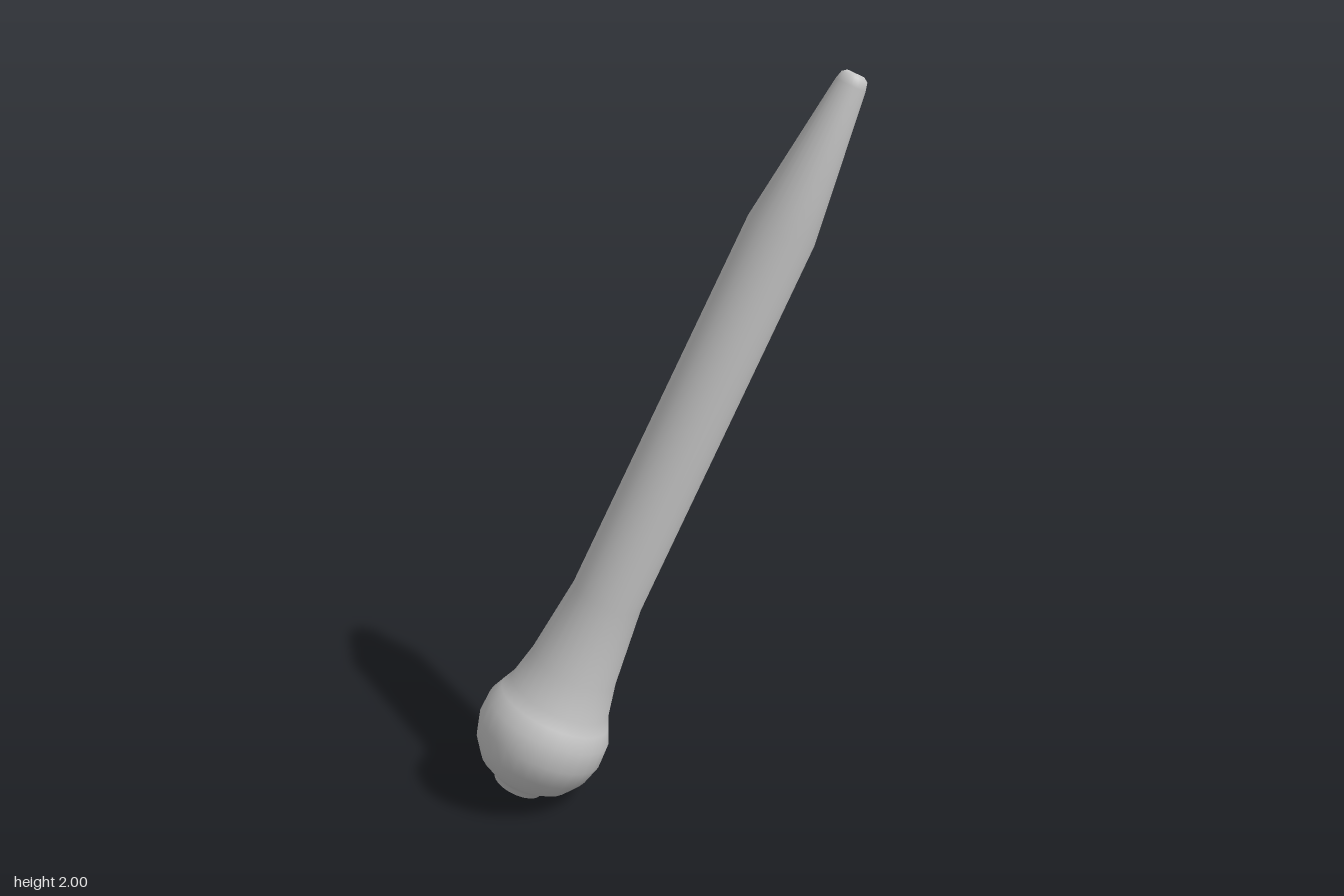
import * as THREE from 'three';

export function createModel() {
  const group = new THREE.Group();
  const material = new THREE.MeshStandardMaterial({ color: 0xcccccc });

  // Closed profile [radius, distance along axis], measured from the bulb centre
  const outer = [
    [0.062, -0.187], [0.072, -0.182], [0.076, -0.168], [0.098, -0.153], // collar at the base
    [0.136, -0.129], [0.17, -0.079], [0.186, -0.02], [0.183, 0.043],    // bulb
    [0.164, 0.085], [0.148, 0.119], [0.127, 0.215],                     // neck
    [0.101, 0.442], [0.095, 1.548],                                     // shaft
    [0.042, 1.95], [0.036, 1.973], [0.024, 1.982],                      // tapered tip
  ];
  const bore = [[0.019, 1.97], [0.019, 1.85], [0.05, 0], [0.054, -0.17], [0.062, -0.187]];
  const profile = [...outer, ...bore].map(([r, t]) => new THREE.Vector2(r, t));

  // Turned body, leaning towards its left and back
  const body = new THREE.Mesh(new THREE.LatheGeometry(profile, 28), material);
  body.name = 'hollowBulbAndShaft';
  const axis = new THREE.Vector3(0.338, 1, -0.328).normalize();
  body.quaternion.setFromUnitVectors(new THREE.Vector3(0, 1, 0), axis);
  body.position.set(-0.233, 0.2, 0.218);
  group.add(body);

  return group;
}
